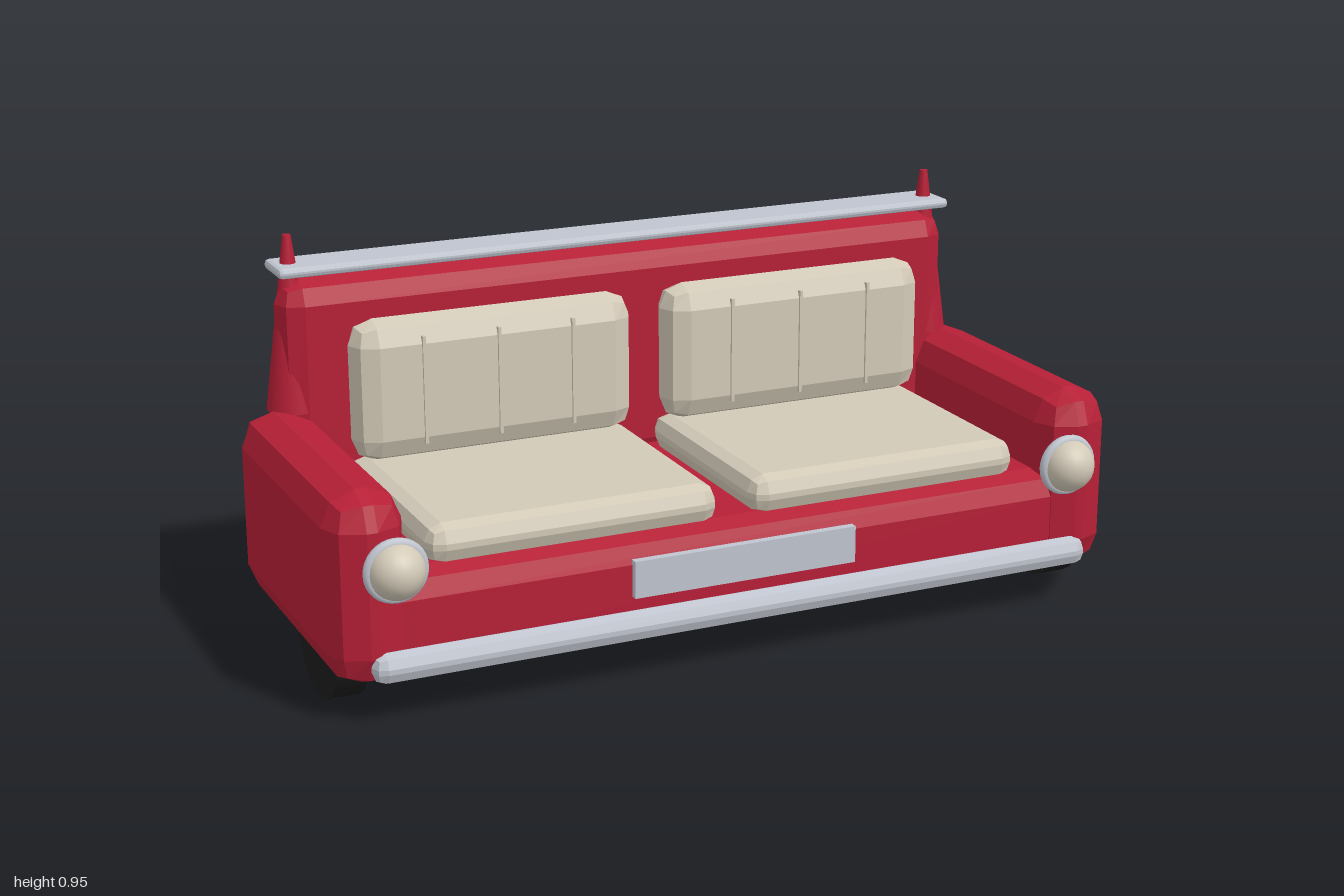
import * as THREE from 'three';

const mat = (name, color) => {
  const m = new THREE.MeshStandardMaterial({ color });
  m.name = name;
  return m;
};

// Box with a faceted two-step bevel of radius r, given by its min and max corners
function bevelBox([x0, y0, z0], [x1, y1, z1], r) {
  const geo = new THREE.BoxGeometry(2, 2, 2, 3, 3, 3).toNonIndexed();
  const half = new THREE.Vector3(x1 - x0, y1 - y0, z1 - z0).multiplyScalar(0.5);
  const p = geo.attributes.position;
  const v = new THREE.Vector3();
  const dir = new THREE.Vector3();
  const outer = (c) => (Math.abs(c) > 0.9 ? Math.sign(c) : 0);
  for (let i = 0; i < p.count; i++) {
    v.fromBufferAttribute(p, i);
    dir.set(outer(v.x), outer(v.y), outer(v.z)).normalize().multiplyScalar(r);
    p.setXYZ(i,
      Math.sign(v.x) * (half.x - r) + dir.x,
      Math.sign(v.y) * (half.y - r) + dir.y,
      Math.sign(v.z) * (half.z - r) + dir.z);
  }
  geo.translate((x0 + x1) / 2, (y0 + y1) / 2, (z0 + z1) / 2);
  geo.computeVertexNormals();
  return geo;
}

export function createModel() {
  const model = new THREE.Group();
  model.name = 'carSofa';
  const red = mat('red paint', 0xb61f36);
  const cream = mat('cream upholstery', 0xd2c9b7);
  const chrome = mat('chrome', 0xbfc4ce);
  const black = mat('black rubber', 0x1b1b1b);

  const add = (name, geo, material, x = 0, y = 0, z = 0) => {
    const mesh = new THREE.Mesh(geo, material);
    mesh.name = name;
    mesh.position.set(x, y, z);
    model.add(mesh);
    return mesh;
  };

  // Body
  add('base', bevelBox([-0.9, 0.08, -0.41], [0.9, 0.335, 0.335], 0.06), red);
  add('backrest', bevelBox([-0.9, 0.29, -0.42], [0.9, 0.85, -0.3], 0.059), red);

  // Chrome trim
  add('topShelf', bevelBox([-0.9, 0.862, -0.43], [0.9, 0.887, -0.3], 0.01), chrome);
  add('bumper', bevelBox([-0.92, 0.1, 0.325], [0.92, 0.172, 0.387], 0.03), chrome);
  add('frontPlate', new THREE.BoxGeometry(0.57, 0.09, 0.02), chrome, 0, 0.243, 0.342);

  for (const side of [1, -1]) {
    const label = side > 0 ? 'left' : 'right';
    // Spans between two x distances on this side
    const box = (a, b, y0, y1, z0, z1, r) => bevelBox(
      [Math.min(side * a, side * b), y0, z0],
      [Math.max(side * a, side * b), y1, z1], r);

    add(`${label}Arm`, box(0.815, 1, 0.08, 0.535, -0.42, 0.36, 0.08), red);

    // Tapered fin rising through the backrest end to the tip above the shelf
    add(`${label}Fin`, new THREE.CylinderGeometry(0.01, 0.066, 0.425, 24), red,
      side * 0.86, 0.7425, -0.365);

    // Cushions with raised seams on the back
    add(`${label}SeatCushion`, box(0.042, 0.758, 0.325, 0.42, -0.3, 0.3, 0.04), cream);
    add(`${label}BackCushion`, box(0.042, 0.762, 0.415, 0.765, -0.295, -0.175, 0.06), cream);
    for (const offset of [-0.19, 0, 0.19]) {
      add(`${label}Seam`, new THREE.BoxGeometry(0.008, 0.265, 0.012), cream,
        side * 0.404 + offset, 0.5925, -0.175);
    }

    // Headlight
    add(`${label}HeadlightRing`, new THREE.TorusGeometry(0.063, 0.013, 10, 32), chrome,
      side * 0.86, 0.365, 0.367);
    add(`${label}HeadlightLens`, new THREE.SphereGeometry(0.065, 24, 16), cream,
      side * 0.86, 0.365, 0.37);

    // Wheel
    const wheel = add(`${label}Wheel`, new THREE.CylinderGeometry(0.155, 0.155, 0.075, 28),
      black, side * 0.938, 0.155, 0.13);
    wheel.rotation.z = Math.PI / 2;
  }
  return model;
}
